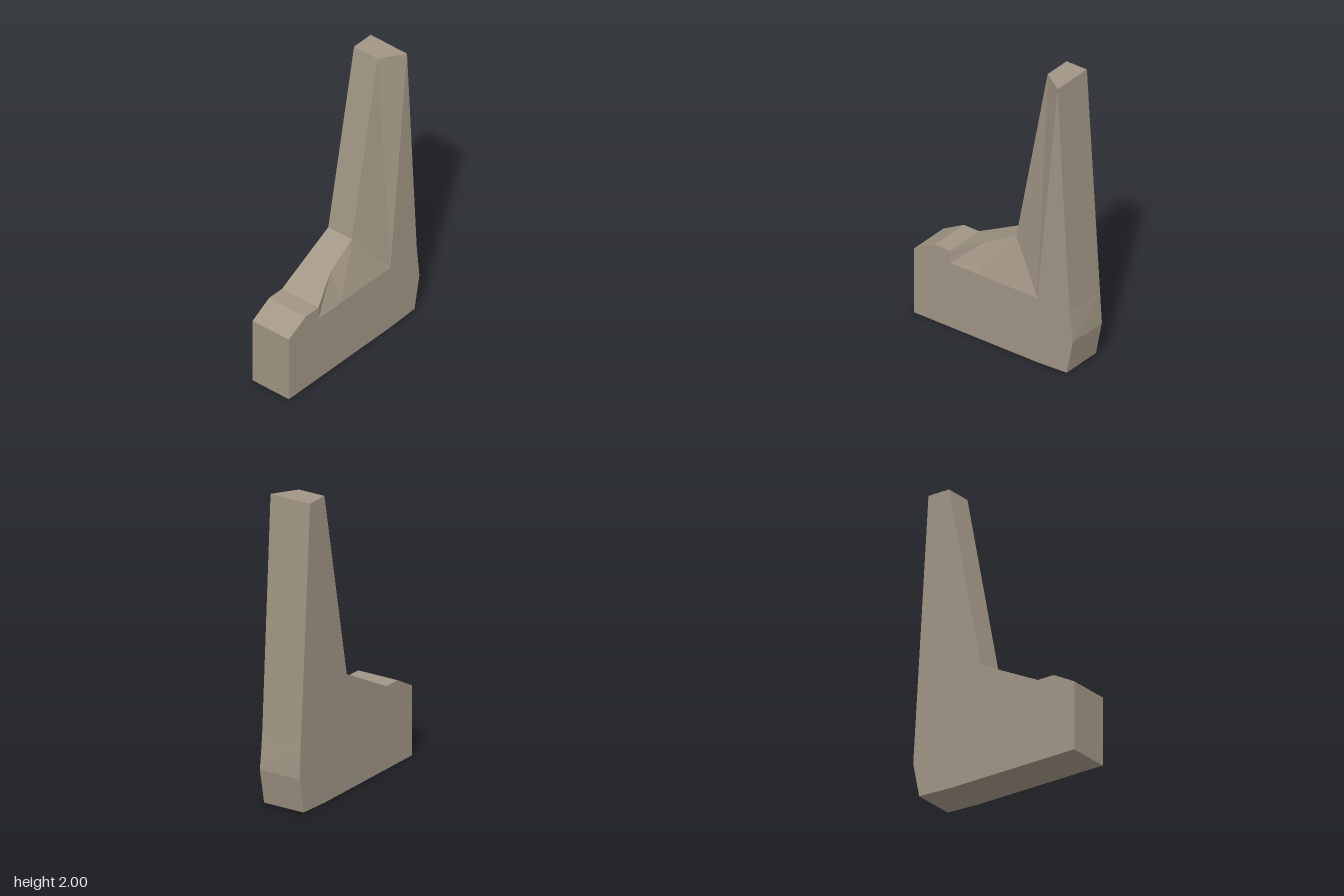
import * as THREE from 'three';

const D = 0.145; // half thickness
const SILL = 0.455; // height where the sloped front begins

// Outline, counter-clockwise from the front: x, y, front z, optional back x
const outline = [
  [-0.61, 0, D], [0.33, 0, D], [0.56, 0.01, D], [0.605, 0.24, D],
  [0.581, SILL, D, 0.591], [0.49, 2, D], [0.335, 2, 0.043], [0.095, 0.76, 0.043],
  [-0.12, 0.65, 0.06], [-0.335, 0.54, D], [-0.455, 0.54, D], [-0.61, SILL, D],
];
const front = outline.map(([x, y, z]) => new THREE.Vector3(x, y, z));
const back = outline.map(([x, y, , bx]) => new THREE.Vector3(bx ?? x, y, -D));

// Flat-faced mesh from a list of triangles
function facetMesh(name, triangles, material) {
  const geometry = new THREE.BufferGeometry().setFromPoints(triangles.flat());
  geometry.computeVertexNormals();
  const mesh = new THREE.Mesh(geometry, material);
  mesh.name = name;
  return mesh;
}

// Fill a flat polygon lying parallel to the front
function fill(points, flip = false) {
  const flat = points.map((p) => new THREE.Vector2(p.x, p.y));
  return THREE.ShapeUtils.triangulateShape(flat, [])
    .map((t) => (flip ? [t[0], t[2], t[1]] : t).map((i) => points[i]));
}

export function createModel() {
  const group = new THREE.Group();
  group.name = 'wedgeBlock';
  const stone = new THREE.MeshStandardMaterial({ color: 0xa09484 });
  stone.name = 'warm stone';

  // Rim joining front and back outlines
  const rim = [];
  front.forEach((a, i) => {
    const j = (i + 1) % front.length;
    rim.push([a, back[i], back[j]], [a, back[j], front[j]]);
  });
  group.add(facetMesh('rim', rim, stone));

  // Flat back
  group.add(facetMesh('backFace', fill(back, true), stone));

  // Flat lower front, with its upper edge along the sill
  const [s0, s1, s2] = [0.335, 0.095, -0.335].map((x) => new THREE.Vector3(x, SILL, D));
  const sMid = new THREE.Vector3(-0.12, SILL, D);
  const lower = [...front.slice(0, 5), s0, s2, ...front.slice(9)];
  group.add(facetMesh('lowerFront', fill(lower), stone));

  // Sloped front, leaning back from the sill to the upper outline
  const [shoulder, topRight, topLeft, elbow, mid, low] = front.slice(4, 10);
  group.add(facetMesh('slopedFront', [
    [s0, shoulder, topRight], [s0, topRight, topLeft],
    [s0, topLeft, elbow], [s1, s0, elbow],
    [sMid, s1, elbow], [sMid, elbow, mid],
    [s2, sMid, mid], [s2, mid, low],
  ], stone));

  return group;
}
